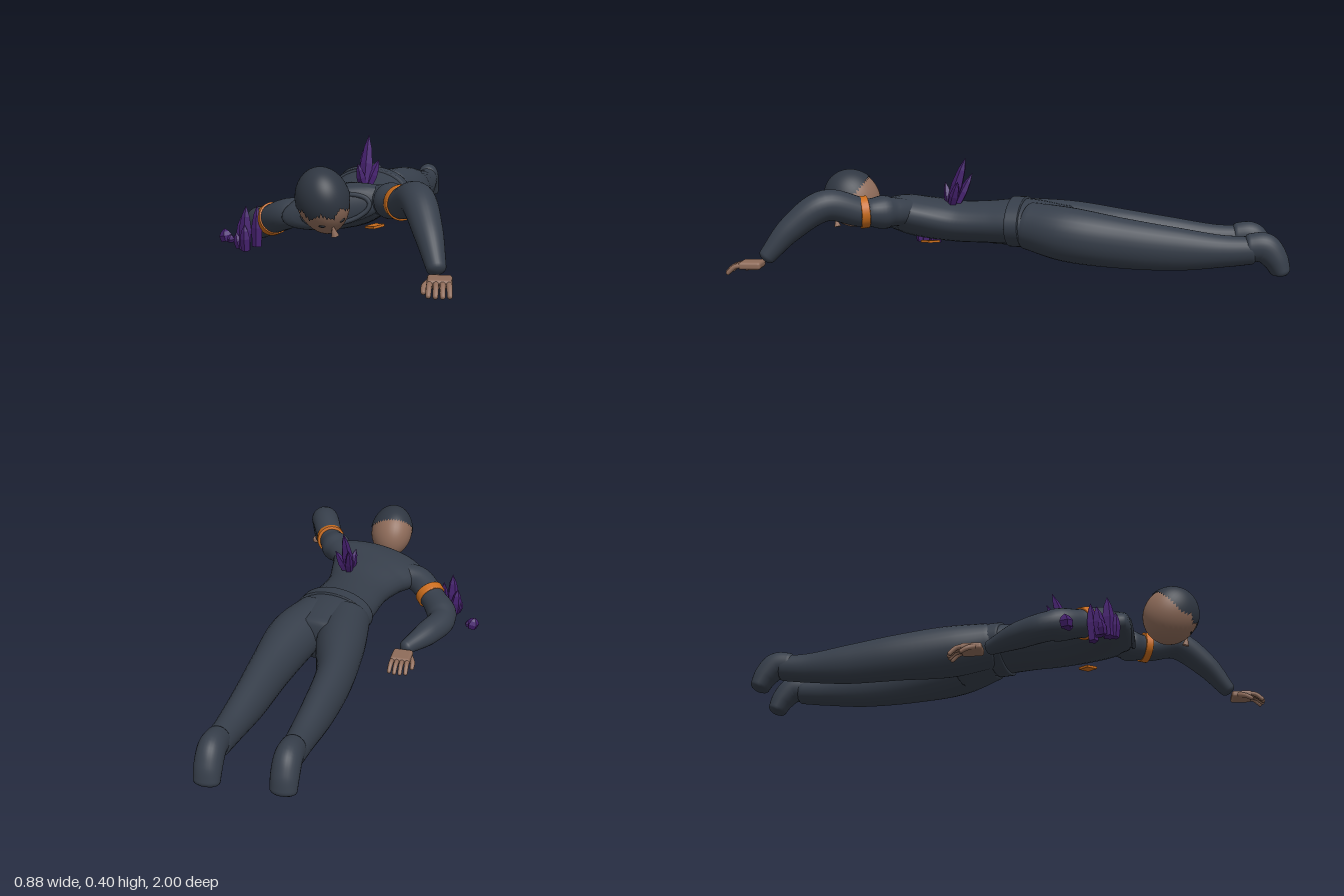
import * as THREE from 'three';
import { RoundedBoxGeometry } from 'three/addons/geometries/RoundedBoxGeometry.js';

const mat = (name, color, extra = {}) => Object.assign(new THREE.MeshStandardMaterial({ color, ...extra }), { name });
const V = (x, y, z) => new THREE.Vector3(x, y, z);

// Smooth body through oval sections [x, y, z, halfWidth, halfHeight, roll]; ends are rounded by `cap`, y never drops below ground
function loft(sections, { cap = 0.02, steps = 8, sides = 28 } = {}) {
  const path = new THREE.CatmullRomCurve3(sections.map(s => V(s[0], s[1], s[2])));
  const size = new THREE.CatmullRomCurve3(sections.map(s => V(s[3], s[4] ?? s[3], s[5] ?? 0)));
  const n = (sections.length - 1) * steps, rings = [], capSteps = 5;
  for (let k = 0; k < capSteps; k++) rings.push([0, Math.PI / 2 * (1 - k / capSteps), -1]);
  for (let i = 0; i <= n; i++) rings.push([i / n, 0, 0]);
  for (let k = 1; k <= capSteps; k++) rings.push([1, Math.PI / 2 * k / capSteps, 1]);
  const pos = [], index = [];
  for (const [t, angle, end] of rings) {
    const tan = path.getTangent(t), c = path.getPoint(t).addScaledVector(tan, end * cap * Math.sin(angle));
    const side = V(0, 1, 0).cross(tan).normalize(), up = tan.clone().cross(side), s = size.getPoint(t);
    const k = Math.max(Math.cos(angle), 0.002);
    for (let j = 0; j < sides; j++) {
      const a = j / sides * Math.PI * 2, u = Math.cos(a) * s.x * k, v = Math.sin(a) * s.y * k;
      const cr = Math.cos(s.z), sr = Math.sin(s.z);
      const p = c.clone().addScaledVector(side, u * cr - v * sr).addScaledVector(up, u * sr + v * cr);
      pos.push(p.x, Math.max(p.y, 0), p.z);
    }
  }
  for (let i = 0; i < rings.length - 1; i++) for (let j = 0; j < sides; j++) {
    const a = i * sides + j, b = i * sides + (j + 1) % sides;
    index.push(a, b, a + sides, b, b + sides, a + sides);
  }
  const g = new THREE.BufferGeometry();
  g.setAttribute('position', new THREE.Float32BufferAttribute(pos, 3));
  g.setIndex(index);
  g.computeVertexNormals();
  return g;
}

export function createModel() {
  const suit = mat('suit slate', 0x363e4a), hairMat = mat('hair dark slate', 0x2f3641, { side: THREE.DoubleSide });
  const skin = mat('skin brown', 0x8f6c5a), orange = mat('trim orange', 0xc96c1c);
  const purple = mat('crystal purple', 0x45206e, { flatShading: true }), dark = mat('eye dark', 0x1b1c22);
  const model = new THREE.Group();
  const add = (name, geo, material, parent = model) => {
    const m = new THREE.Mesh(geo, material);
    m.name = name;
    parent.add(m);
    return m;
  };

  // Torso, rolled so the left shoulder sits higher
  add('torso', loft([
    [0.095, 0.124, -0.19, 0.15, 0.094, 0], [0.08, 0.153, -0.04, 0.145, 0.088, 0], [0.062, 0.15, 0.08, 0.133, 0.08, 0.02],
    [0.048, 0.147, 0.2, 0.128, 0.078, 0.06], [0.032, 0.157, 0.32, 0.158, 0.08, 0.15],
    [0.015, 0.168, 0.42, 0.198, 0.074, 0.22], [0.015, 0.172, 0.462, 0.186, 0.064, 0.22]], { cap: 0.027 }), suit);
  add('belt', loft([[0.083, 0.154, -0.045, 0.15, 0.094], [0.075, 0.154, 0.003, 0.15, 0.094]], { cap: 0.006, sides: 40 }), suit);

  // Raised collar around the neck opening
  const rim = [];
  for (let i = 0; i < 16; i++) {
    const a = i / 16 * Math.PI * 2, u = Math.cos(a) * 0.115, v = Math.sin(a) * 0.046;
    rim.push(V(0.02 + u - v * 0.22, 0.168 + v + u * 0.22, 0.483 - v * 0.15));
  }
  add('collar', new THREE.TubeGeometry(new THREE.CatmullRomCurve3(rim, true), 48, 0.008, 8, true), suit);

  // Chest badge on the underside
  const badge = add('chestBadge', new THREE.BoxGeometry(0.05, 0.009, 0.05), orange);
  badge.position.set(0.133, 0.082, 0.31);
  badge.rotation.set(0, Math.PI / 4, 0.14, 'ZYX');

  // Legs
  add('rightLeg', loft([[0.022, 0.148, -0.06, 0.09, 0.088], [0.006, 0.126, -0.2, 0.092, 0.1], [-0.024, 0.1, -0.4, 0.068, 0.092],
    [-0.021, 0.083, -0.6, 0.057, 0.078], [-0.012, 0.08, -0.76, 0.047, 0.058], [-0.01, 0.085, -0.86, 0.043, 0.05]]), suit);
  add('leftLeg', loft([[0.14, 0.148, -0.06, 0.09, 0.088], [0.19, 0.126, -0.2, 0.095, 0.1], [0.215, 0.1, -0.4, 0.075, 0.092],
    [0.226, 0.083, -0.6, 0.061, 0.078], [0.236, 0.08, -0.76, 0.05, 0.058], [0.24, 0.085, -0.86, 0.045, 0.05]]), suit);

  // Feet, bent down onto their toes
  for (const [name, x, z] of [['rightFoot', -0.01, 0.014], ['leftFoot', 0.241, 0]])
    add(name, loft([[x, 0.095, z - 0.85, 0.043, 0.05], [x, 0.095, z - 0.905, 0.046, 0.054],
      [x, 0.058, z - 0.942, 0.047, 0.046], [x, 0.012, z - 0.964, 0.045, 0.035]], { cap: 0.02 }), suit);

  // Arms and their bands
  add('leftArm', loft([[0.11, 0.19, 0.37, 0.045], [0.19, 0.2, 0.45, 0.054], [0.25, 0.207, 0.54, 0.054],
    [0.308, 0.238, 0.66, 0.057], [0.352, 0.16, 0.775, 0.047], [0.383, 0.065, 0.855, 0.031]]), suit);
  add('rightArm', loft([[-0.09, 0.15, 0.39, 0.045], [-0.17, 0.132, 0.385, 0.054], [-0.235, 0.1, 0.32, 0.053],
    [-0.305, 0.064, 0.2, 0.053], [-0.268, 0.053, 0.09, 0.049], [-0.205, 0.04, -0.02, 0.028]]), suit);
  add('leftArmBand', loft([[0.243, 0.208, 0.522, 0.059], [0.254, 0.206, 0.548, 0.059]], { cap: 0.004 }), orange);
  add('rightArmBand', loft([[-0.224, 0.107, 0.333, 0.059], [-0.241, 0.096, 0.312, 0.059]], { cap: 0.004 }), orange);

  // Hands: palm, four drooping fingers and a thumb
  const hand = (name, x, z, turn, thumbSide) => {
    const g = new THREE.Group();
    g.name = name;
    g.position.set(x, 0, z);
    g.rotation.y = turn;
    model.add(g);
    const palm = add('palm', new RoundedBoxGeometry(0.076, 0.027, 0.08, 3, 0.01), skin, g);
    palm.position.set(0, 0.036, 0.035);
    for (let i = 0; i < 4; i++) {
      const fx = (i - 1.5) * 0.019, len = i === 0 || i === 3 ? -0.006 : 0;
      add('finger', loft([[fx, 0.037, 0.065, 0.0095], [fx * 1.05, 0.032, 0.095 + len, 0.009],
        [fx * 1.1, 0.011, 0.118 + len, 0.008]], { cap: 0.007, steps: 3, sides: 10 }), skin, g);
    }
    add('thumb', loft([[thumbSide * 0.028, 0.034, 0.02, 0.011], [thumbSide * 0.045, 0.024, 0.045, 0.0095],
      [thumbSide * 0.047, 0.011, 0.068, 0.008]], { cap: 0.007, steps: 3, sides: 10 }), skin, g);
  };
  hand('leftHand', 0.395, 0.873, 0.04, -1);
  hand('rightHand', -0.202, -0.055, Math.PI, 1);

  // Head, craned forward and turned towards its left
  const head = new THREE.Group();
  head.name = 'head';
  const face = V(0.42, -0.55, 0.72).normalize(), left = V(0, 0.8, 0.6).cross(face).normalize();
  head.quaternion.setFromRotationMatrix(new THREE.Matrix4().makeBasis(left, face.clone().cross(left), face));
  head.position.set(0.002, 0.223, 0.634);
  model.add(head);
  const skull = new THREE.SphereGeometry(1, 40, 28), sp = skull.attributes.position;
  for (let i = 0; i < sp.count; i++) sp.setX(i, sp.getX(i) * (1 - 0.25 * Math.max(0, -sp.getY(i)) ** 2));
  add('face', skull.scale(0.086, 0.114, 0.104), skin, head);

  // Hair cap with a jagged fringe
  const hair = new THREE.SphereGeometry(1, 48, 16), hp = hair.attributes.position, uv = hair.attributes.uv;
  for (let i = 0; i < hp.count; i++) {
    const phi = uv.getX(i) * Math.PI * 2, front = Math.sin(phi);
    const zig = front > 0.2 ? Math.abs(Math.round(uv.getX(i) * 48) % 6 - 3) * 0.075 : 0.1;
    const theta = (1 - uv.getY(i)) * (1.47 - 0.22 * Math.abs(front) + zig);
    hp.setXYZ(i, -Math.cos(phi) * Math.sin(theta), Math.cos(theta), Math.sin(phi) * Math.sin(theta));
    hair.attributes.normal.setXYZ(i, hp.getX(i), hp.getY(i), hp.getZ(i));
  }
  add('hair', hair.scale(0.09, 0.118, 0.108), hairMat, head);

  // Face details
  for (const s of [-1, 1]) {
    const eye = add('eye', new THREE.SphereGeometry(1, 14, 10).scale(0.011, 0.005, 0.004), dark, head);
    eye.position.set(s * 0.034, -0.012, 0.0945);
    eye.rotation.y = s * 0.45;
  }
  const nose = add('nose', new THREE.ConeGeometry(0.013, 0.042, 10), skin, head);
  nose.position.set(0, -0.033, 0.104);
  nose.rotation.x = -0.45;

  // Crystals: faceted shards from a base to a tip
  const shard = (base, tip, r) => {
    const dir = V(...tip).sub(V(...base)), h = dir.length();
    const profile = [[0, 0], [r * 0.85, 0], [r, h * 0.45], [r * 0.65, h * 0.75], [0, h]].map(p => new THREE.Vector2(...p));
    const m = add('crystal', new THREE.LatheGeometry(profile, 5), purple);
    m.position.set(...base);
    m.quaternion.setFromUnitVectors(V(0, 1, 0), dir.normalize());
  };
  // Back cluster
  shard([0.088, 0.205, 0.24], [0.096, 0.395, 0.18], 0.023);
  shard([0.085, 0.205, 0.22], [0.07, 0.335, 0.158], 0.017);
  shard([0.095, 0.205, 0.235], [0.136, 0.308, 0.205], 0.019);
  shard([0.085, 0.205, 0.24], [0.066, 0.3, 0.262], 0.017);
  // Ground clusters
  shard([-0.315, 0.005, 0.405], [-0.31, 0.163, 0.405], 0.024);
  shard([-0.285, 0.005, 0.35], [-0.284, 0.155, 0.345], 0.021);
  shard([-0.33, 0.005, 0.375], [-0.338, 0.115, 0.368], 0.022);
  shard([-0.338, 0.005, 0.385], [-0.354, 0.06, 0.38], 0.017);
  shard([-0.308, 0.005, 0.425], [-0.31, 0.1, 0.432], 0.019);
  shard([-0.417, 0.004, 0.266], [-0.427, 0.05, 0.262], 0.025);
  shard([-0.405, 0.004, 0.27], [-0.4, 0.03, 0.276], 0.017);
  return model;
}
